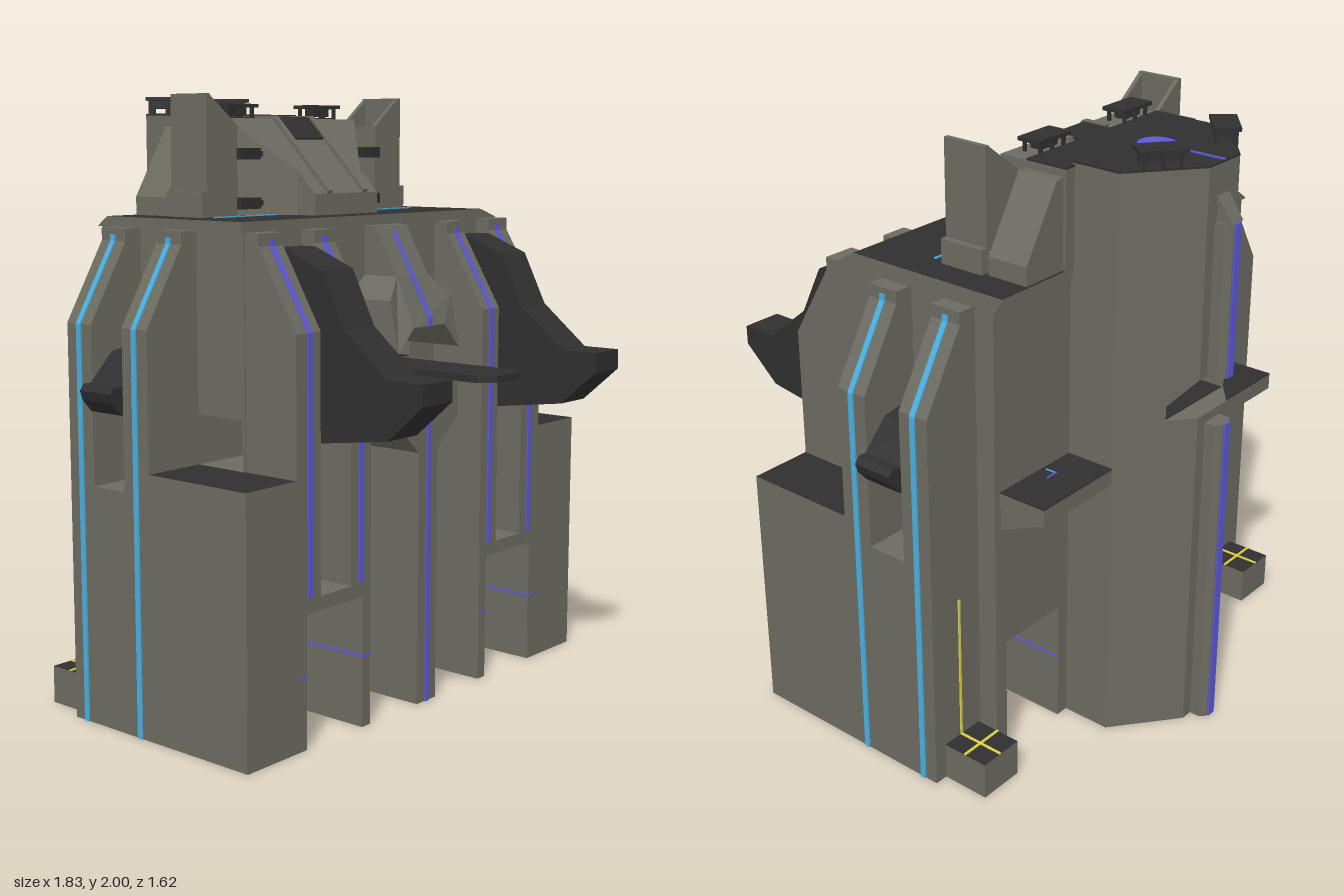
import * as THREE from 'three';

const mat = (name, color) => Object.assign(new THREE.MeshStandardMaterial({ color }), { name });

export function createModel() {
  const root = new THREE.Group();
  root.name = 'fortressTower';
  const stone = mat('olive stone', 0x6b6b60);
  const dark = mat('dark metal', 0x2f2f2f);
  const blue = mat('violet light', 0x5b58d8);
  const cyan = mat('cyan light', 0x4aaede);
  const yellow = mat('yellow marking', 0xdcd444);

  const add = (name, geo, material) => {
    const m = new THREE.Mesh(geo, material);
    m.name = name;
    root.add(m);
    return m;
  };
  const extrude = (pts, depth, hole) => {
    const shape = new THREE.Shape(pts.map(p => new THREE.Vector2(p[0], p[1])));
    if (hole) shape.holes.push(new THREE.Path(hole.map(p => new THREE.Vector2(p[0], p[1]))));
    return new THREE.ExtrudeGeometry(shape, { depth, bevelEnabled: false });
  };
  // Profiles: [z, y] along x, [x, z] along y, [x, y] along z
  const alongX = (pts, a, b) => extrude(pts, Math.abs(b - a)).rotateY(-Math.PI / 2).translate(Math.max(a, b), 0, 0);
  const alongY = (pts, y0, y1) => extrude(pts, y1 - y0).rotateX(Math.PI / 2).translate(0, y1, 0);
  const alongZ = (pts, z0, z1, hole) => extrude(pts, z1 - z0, hole).translate(0, 0, z0);
  const box = (name, x0, x1, y0, y1, z0, z1, m, top = m) => {
    const g = new THREE.BoxGeometry(Math.abs(x1 - x0), y1 - y0, z1 - z0);
    g.translate((x0 + x1) / 2, (y0 + y1) / 2, (z0 + z1) / 2);
    return add(name, g, top === m ? m : [m, m, top, m, m, m]);
  };
  // Adds the left-right mirror of half an outline
  const both = half => [...half, ...half.slice().reverse().map(([x, y]) => [-x, y])];
  const flip = (pts, s) => pts.map(([x, y]) => [x * s, y]);
  const rect = (x, y0, y1) => both([[x, y0], [x, y1]]);

  // Main body, pierced by a central window, a cross slot and two arches
  const windowHole = both([[0.16, 1.13], [0.16, 1.18], [0.08, 1.26]]);
  add('lowerBody', alongZ(both([[0.335, 0], [0.335, 0.43], [0.6, 0.43], [0.6, 0], [0.65, 0], [0.65, 0.85]]), -0.41, 0.22), stone);
  add('middleBody', alongZ(rect(0.65, 0.85, 1.01), -0.41, 0.02), stone);
  add('slotFrontWall', alongZ(rect(0.65, 0.85, 1.01), 0.21, 0.22), stone);
  add('upperBody', alongZ(rect(0.65, 1.01, 1.58), -0.41, 0.22, windowHole), stone);

  // Roof deck with chamfered rim
  const deck = box('roofDeck', -0.66, 0.66, 1.58, 1.61, -0.42, 0.22, stone, dark).geometry.attributes.position;
  for (let i = 0; i < deck.count; i++) if (deck.getY(i) > 1.6) {
    deck.setX(i, Math.sign(deck.getX(i)) * 0.62);
    if (deck.getZ(i) > 0) deck.setZ(i, 0.18);
  }

  // Rear tower, continuing the central window
  const plan = both([[0.29, -0.41], [0.29, -0.58], [0.08, -0.75]]);
  add('towerBase', alongY(plan, 0, 1.13), stone);
  add('towerTop', alongY(plan, 1.26, 1.936), stone);
  add('towerCap', alongY(plan, 1.936, 1.942), dark);
  box('windowFloor', -0.155, 0.155, 1.13, 1.133, -0.68, 0.22, dark);
  for (const s of [1, -1]) {
    add('windowSide', alongY(flip([[0.16, -0.41], [0.29, -0.41], [0.29, -0.58], [0.16, -0.685]], s), 1.13, 1.26), stone);
    const g = alongZ(flip([[0.16, 1.18], [0.16, 1.26], [0.08, 1.26]], s), -0.75, -0.41);
    const p = g.attributes.position;
    for (let i = 0; i < p.count; i++) if (p.getZ(i) < -0.5 && Math.abs(p.getX(i)) > 0.1) p.setZ(i, -0.685);
    g.computeVertexNormals();
    add('windowCorner', g, stone);
  }
  const disc = add('roofLight', new THREE.CylinderGeometry(0.06, 0.06, 0.006, 32), blue);
  disc.position.set(0, 1.944, -0.505);
  box('roofLine', -0.004, 0.004, 1.942, 1.946, -0.75, -0.59, blue);

  // Back spine in two lengths with a light strip
  const spine = both([[0.04, -0.75], [0.04, -0.785], [0.02, -0.805]]);
  add('lowerSpine', alongY(spine, 0, 1.1), stone);
  add('upperSpine', alongY(spine, 1.26, 1.76), stone);
  add('spineTip', alongX([[-0.75, 1.76], [-0.805, 1.76], [-0.75, 1.84]], -0.03, 0.03), stone);
  for (const [a, b] of [[0, 1.1], [1.26, 1.76]]) box('spineLight', -0.015, 0.015, a, b, -0.81, -0.804, blue);

  // Front centre column with hood and tongue
  add('centreColumn', alongZ(both([[0.05, 0], [0.05, 0.85], [0.16, 0.95], [0.16, 1.11]]), 0.22, 0.425), stone);
  const hood = alongZ(both([[0.08, 1.26], [0.16, 1.18], [0.16, 1.35], [0.08, 1.42], [0.08, 1.58]]), 0.22, 0.425);
  const hp = hood.attributes.position;
  for (let i = 0; i < hp.count; i++) if (hp.getZ(i) > 0.3) hp.setZ(i, 0.425 - Math.max(0, hp.getY(i) - 1.29) * 0.55);
  hood.computeVertexNormals();
  add('centreHood', hood, stone);
  add('tongue', alongY(both([[0.1, 0.2], [0.1, 0.69], [0.06, 0.735]]), 1.11, 1.132), dark);
  box('centreLight', -0.009, 0.009, 0, 1.09, 0.424, 0.43, blue);
  add('hoodLight', alongX([[0.425, 1.26], [0.431, 1.26], [0.431, 1.29], [0.278, 1.56], [0.27, 1.56], [0.425, 1.29]], -0.009, 0.009), blue);

  // Outlines shared by the buttresses and their light strips
  const buttress = (inner, outer, y0) => [[inner, y0], [outer, y0], [outer, 1.29], [outer - 0.15, 1.54], [outer - 0.15, 1.58], [inner, 1.58]];
  const strip = (o, y0) => [[o, y0], [o + 0.005, y0], [o + 0.005, 1.29], [o - 0.145, 1.54], [o - 0.145, 1.56], [o - 0.15, 1.56], [o - 0.15, 1.54], [o, 1.29]];
  const horn = [[0.22, 1.53], [0.28, 1.53], [0.43, 1.47], [0.515, 1.3], [0.68, 1.165], [0.81, 1.165], [0.81, 1.1], [0.68, 0.985], [0.43, 0.95], [0.22, 0.95]];

  for (const s of [1, -1]) {
    // Front buttresses, horn and arch
    add('frontButtressInner', alongX(buttress(0.22, 0.425, 0.43), s * 0.295, s * 0.39), stone);
    add('frontButtressOuter', alongX(buttress(0.22, 0.425, 0.43), s * 0.535, s * 0.645), stone);
    box('innerLeg', s * 0.295, s * 0.335, 0, 0.43, 0.22, 0.425, stone);
    box('outerLeg', s * 0.6, s * 0.65, 0, 0.43, 0.22, 0.425, stone);
    box('archLintel', s * 0.39, s * 0.535, 0.43, 0.475, 0.22, 0.425, stone);
    add('frontHorn', alongX(horn, s * 0.392, s * 0.533), dark);
    for (const x of [0.345, 0.585]) add('frontLight', alongX(strip(0.425, 0.48), s * (x - 0.01), s * (x + 0.01)), blue);
    for (const [x, w] of [[0.315, 0.02], [0.622, 0.022]]) {
      box('archLight', s * (x - w), s * (x + w), 0.232, 0.239, 0.424, 0.428, blue);
    }
    box('archWallLight', s * 0.335, s * 0.338, 0.232, 0.239, -0.41, 0.425, blue);
    box('archWallLight', s * 0.597, s * 0.6, 0.232, 0.239, -0.41, 0.425, blue);

    // Side block, buttresses and hook
    box('sideBlock', s * 0.645, s * 0.865, 0, 0.85, 0.02, 0.425, stone, dark);
    const side = flip(buttress(0.65, 0.865, 0), s);
    add('sideButtressFront', alongZ(side, -0.09, 0.02), stone);
    add('sideButtressBack', alongZ(side, -0.34, -0.23), stone);
    box('sideInfill', s * 0.65, s * 0.865, 0, 0.78, -0.23, -0.09, stone);
    add('sideHook', alongZ(flip([[0.65, 1.22], [0.78, 1.2], [0.87, 1.11], [0.9, 1.11], [0.915, 1.09], [0.905, 1.06], [0.87, 1.02], [0.78, 1.03], [0.65, 0.95]], s), -0.23, -0.09), dark);
    for (const z of [-0.035, -0.285]) add('sideLight', alongZ(flip(strip(0.865, 0), s), z - 0.01, z + 0.01), cyan);

    // Rear foot with yellow cross and wall line
    box('rearFoot', s * 0.66, s * 0.82, 0, 0.125, -0.505, -0.34, stone, dark);
    box('footMarkLong', s * 0.741, s * 0.749, 0.125, 0.129, -0.505, -0.34, yellow);
    box('footMarkCross', s * 0.66, s * 0.82, 0.125, 0.129, -0.426, -0.418, yellow);
    box('wallMark', s * 0.741, s * 0.749, 0.125, 0.63, -0.344, -0.34, yellow);

    // Rear ledge with small light corners
    add('rearLedge', alongX([[-0.41, 0.85], [-0.41, 0.978], [-0.58, 0.978], [-0.58, 0.925]], s * 0.28, s * 0.625), stone);
    box('ledgeTop', s * 0.28, s * 0.625, 0.978, 0.982, -0.58, -0.41, dark);
    box('ledgeLight', s * 0.42, s * 0.465, 0.982, 0.985, -0.466, -0.461, blue);
    box('ledgeLight', s * 0.42, s * 0.425, 0.982, 0.985, -0.461, -0.425, cyan);

    // Hollow roof fin and sloping shoulder behind it
    box('finOuterWall', s * 0.475, s * 0.492, 1.61, 2, -0.25, -0.09, stone);
    box('finInnerWall', s * 0.35, s * 0.365, 1.61, 1.9, -0.25, -0.09, stone);
    box('finFloor', s * 0.365, s * 0.475, 1.61, 1.75, -0.235, -0.105, dark);
    const face = flip([[0.35, 1.61], [0.35, 1.9], [0.48, 2], [0.48, 1.61]], s);
    add('finFrontWall', alongZ(face, -0.105, -0.09), stone);
    add('finBackWall', alongZ(face, -0.25, -0.235), stone);
    box('finSkirt', s * 0.492, s * 0.515, 1.61, 1.69, -0.25, -0.09, stone);
    add('rearShoulder', alongZ(flip([[0.3, 1.61], [0.5, 1.61], [0.5, 1.67], [0.36, 1.9], [0.3, 1.9]], s), -0.41, -0.265), stone);
    box('deckLight', s * 0.21, s * 0.5, 1.61, 1.614, -0.053, -0.045, cyan);

    // Paired guns beside the ramp
    for (const y of [1.65, 1.81]) {
      box('gunBody', s * 0.26, s * 0.355, y - 0.018, y + 0.018, -0.12, -0.07, dark);
      box('gunBarrel', s * 0.195, s * 0.26, y - 0.009, y + 0.009, -0.1, -0.08, dark);
      box('gunMuzzle', s * 0.195, s * 0.22, y - 0.015, y + 0.015, -0.105, -0.075, dark);
    }

    // Roof turrets: a plate on legs
    for (const [x, y, z, turn] of [[0.167, 1.942, -0.637, -0.68], [0.21, 1.915, -0.24, 0]]) {
      const t = new THREE.Group();
      t.name = 'roofTurret';
      const part = (name, w, h, d, px, py, pz) => {
        const m = new THREE.Mesh(new THREE.BoxGeometry(w, h, d), dark);
        m.name = name;
        m.position.set(px, py, pz);
        t.add(m);
      };
      part('turretPlate', 0.15, 0.012, 0.085, 0, 0.052, 0);
      part('turretBody', 0.08, 0.03, 0.04, 0, 0.034, 0);
      for (const i of [-1, 0, 1]) for (const j of [-1, 1]) part('turretLeg', 0.01, 0.05, 0.01, i * 0.055, 0.022, j * 0.03);
      t.position.set(s * x, y, z);
      t.rotation.y = s * turn;
      root.add(t);
    }
  }

  // Sloping ramp block in front of the tower
  const ramp = alongY(both([[0.16, 0.075], [0.16, 0], [0.33, -0.17]]), 1.61, 1.925);
  const rp = ramp.attributes.position;
  for (let i = 0; i < rp.count; i++) if (rp.getY(i) > 1.7) rp.setY(i, 1.755 - rp.getZ(i));
  ramp.computeVertexNormals();
  add('ramp', ramp, stone);
  box('rampTop', -0.33, 0.33, 1.61, 1.925, -0.42, -0.17, stone);
  box('rampRoof', -0.33, 0.33, 1.925, 1.931, -0.42, -0.27, dark);
  box('roofPanel', -0.08, 0.08, 1.925, 1.931, -0.27, -0.17, dark);
  add('rampWindow', alongX([[-0.1, 1.855], [-0.095, 1.86], [-0.165, 1.93], [-0.17, 1.925]], -0.08, 0.08), dark);
  for (const s of [1, -1]) add('rampRail', alongX([[0.075, 1.68], [0.085, 1.69], [-0.16, 1.935], [-0.25, 1.935], [-0.25, 1.925], [-0.17, 1.925]], s * 0.08, s * 0.1), stone);

  return root;
}
